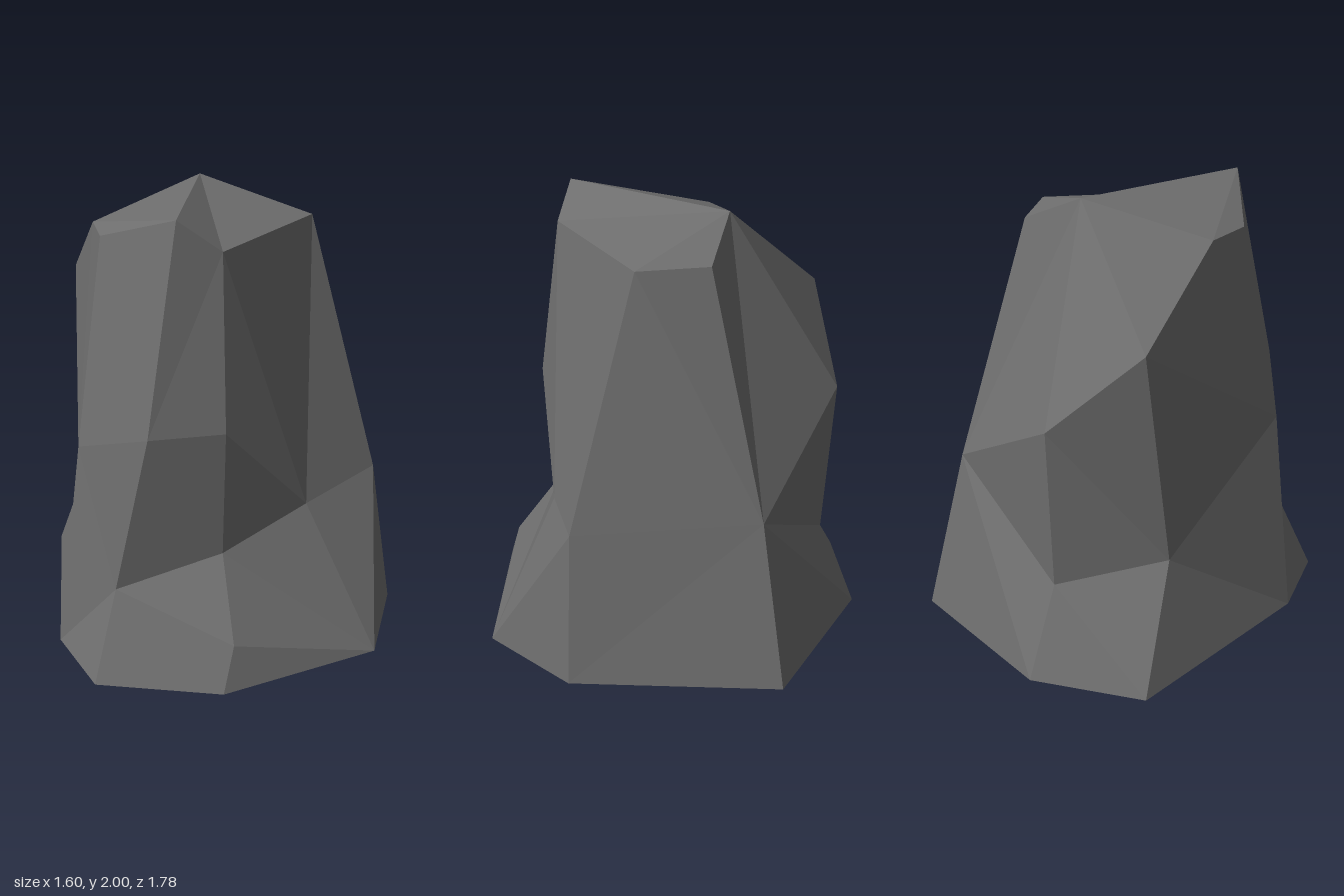
import * as THREE from 'three';

// Corner points of the faceted boulder, level by level
const P = {
  // ground outline
  b0: [-0.2, 0, -0.89], b1: [0.58, 0, -0.7], b2: [0.8, 0, 0.24], b3: [0.58, 0, 0.7],
  b4: [-0.16, 0, 0.89], b5: [-0.69, 0, 0.7], b6: [-0.8, 0, 0.31], b7: [-0.69, 0, -0.7],
  // front ledge and the chipped face above it
  ledgeLow: [-0.1, 0.19, 0.82], ledgeIn: [-0.1, 0.52, 0.59], ledgeEnd: [-0.57, 0.385, 0.57],
  browA: [-0.43, 1.11, 0.65], browB: [-0.1, 1.11, 0.65],
  hollow: [0.31, 0.655, 0.46], sideR: [0.69, 0.71, 0.25],
  // left side and back
  sideL: [-0.68, 0.96, 0.31], notchL: [-0.585, 0.51, -0.39], notchIn: [-0.2, 0.4, -0.71],
  backR: [0.46, 0.77, -0.56], backMid: [-0.2, 1.15, -0.75], backL: [-0.57, 1.52, -0.56],
  // crown
  peak: [-0.02, 2, -0.27], tip: [-0.28, 2, 0.54], t3: [-0.09, 1.86, 0.54],
  t4: [0.43, 1.86, 0.02], t5: [0.29, 1.86, -0.27], t6: [-0.54, 1.86, 0.19], t7: [-0.54, 1.86, -0.05],
};

// Each fan: a pivot corner, then the corners around it
const FANS = [
  'peak tip t3 t4 t5 backR backMid backL t7 tip',
  't7 tip t6 sideL backL',
  'browA tip t3 browB ledgeIn ledgeEnd sideL t6 tip',
  'hollow browB t3 t4 sideR b3 ledgeIn browB',
  'ledgeLow ledgeIn b3 b4 b5 ledgeEnd ledgeIn',
  'b6 b5 ledgeEnd sideL notchL b7',
  'notchL sideL backL backMid notchIn b7',
  'notchIn b7 b0 backR backMid',
  'backR b0 b1 b2 sideR t4 t5',
  'sideR b2 b3',
  'b0 b1 b2 b3 b4 b5 b6 b7',
];

// Triangulates the fans, turning every facet away from the core
function facetedGeometry() {
  const core = new THREE.Vector3(-0.05, 0.8, 0);
  const points = [];
  for (const fan of FANS) {
    const [pivot, ...ring] = fan.split(' ').map((n) => new THREE.Vector3(...P[n]));
    for (let i = 0; i + 1 < ring.length; i++) {
      const tri = new THREE.Triangle(pivot, ring[i], ring[i + 1]);
      const normal = tri.getNormal(new THREE.Vector3());
      const outward = normal.dot(pivot.clone().sub(core)) > 0;
      points.push(pivot, ...(outward ? [ring[i], ring[i + 1]] : [ring[i + 1], ring[i]]));
    }
  }
  const geometry = new THREE.BufferGeometry().setFromPoints(points);
  geometry.computeVertexNormals();
  return geometry;
}

export function createModel() {
  const stone = new THREE.MeshStandardMaterial({ color: 0x6e6e6e });
  stone.name = 'stone grey';
  stone.flatShading = true;

  const boulder = new THREE.Mesh(facetedGeometry(), stone);
  boulder.name = 'boulder';

  const group = new THREE.Group();
  group.name = 'rock';
  group.add(boulder);
  return group;
}
